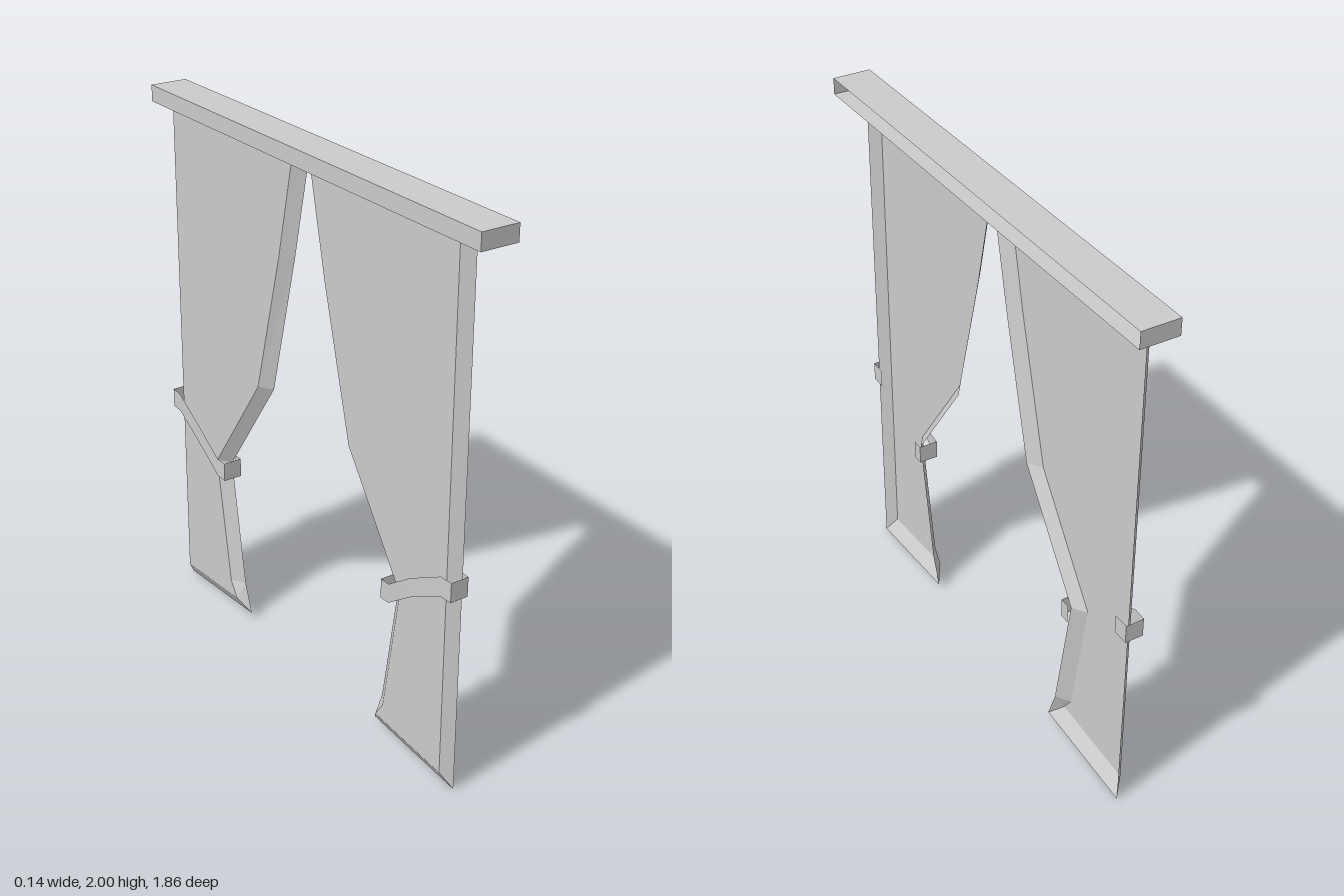
import * as THREE from 'three';

const material = new THREE.MeshStandardMaterial({ color: 0xcccccc, flatShading: true, side: THREE.DoubleSide });

// Skin a grid of [x, y, z] rows with flat quads; side (+1 / -1) mirrors it in z.
function gridMesh(name, rows, side) {
  const pos = [];
  const put = (...pts) => pts.forEach(([x, y, z]) => pos.push(x, y, z * side));
  for (let i = 0; i < rows.length - 1; i++) {
    for (let j = 0; j < rows[i].length - 1; j++) {
      const a = rows[i][j], b = rows[i][j + 1], c = rows[i + 1][j + 1], d = rows[i + 1][j];
      if (side > 0) put(a, d, c, a, c, b);
      else put(a, c, d, a, b, c);
    }
  }
  const geometry = new THREE.BufferGeometry();
  geometry.setAttribute('position', new THREE.Float32BufferAttribute(pos, 3));
  geometry.computeVertexNormals();
  const mesh = new THREE.Mesh(geometry, material);
  mesh.name = name;
  return mesh;
}

// Flat sheet whose side and bottom hems are folded towards +x.
function curtainPanel(side) {
  const sheetX = -0.05, hemX = -0.015;
  // [y, free edge z, inner fold z]
  const profile = [
    [1.985, 0, 0.045], [1.59, 0.09, 0.135], [1.055, 0.228, 0.278],
    [0.635, 0.525, 0.575], [0.145, 0.445, 0.495],
  ];
  const rows = profile.map(([y, edge, fold]) => [
    [hemX, y, edge], [sheetX, y, fold], [sheetX, y, 0.815], [hemX, y, 0.85],
  ]);
  // lower fold line, then the mitred bottom hem
  rows.push([[hemX, 0.03, 0.405], [sheetX, 0.085, 0.455], [sheetX, 0.06, 0.815], [hemX, 0, 0.85]]);
  rows.push([[hemX, 0.03, 0.405], [hemX, 0.03, 0.405], [hemX, 0, 0.85], [hemX, 0, 0.85]]);
  return gridMesh('curtainPanel', rows, side);
}

// Ribbon running behind the panel and hooked around both of its edges.
function tieback(side) {
  const path = [
    [0, 0.79, 0.8], [0, 0.79, 0.86], [-0.068, 0.79, 0.86], [-0.07, 0.79, 0.81],
    [-0.074, 0.71, 0.66], [-0.07, 0.625, 0.54], [-0.068, 0.622, 0.495],
    [0.004, 0.622, 0.495], [0.004, 0.622, 0.535],
  ];
  const offset = (dy) => path.map(([x, y, z]) => [x, y + dy, z]);
  return gridMesh('tieback', [offset(0.036), offset(-0.036)], side);
}

// Curtain box: hollow, open on the +x side.
function curtainBox() {
  const group = new THREE.Group();
  group.name = 'curtainBox';
  const w = 0.14, h = 0.06, l = 1.86, y = 1.97;
  const plate = (name, a, b, position, rotation) => {
    const mesh = new THREE.Mesh(new THREE.PlaneGeometry(a, b), material);
    mesh.name = name;
    mesh.position.set(...position);
    mesh.rotation.set(...rotation);
    group.add(mesh);
  };
  plate('boxTop', w, l, [0, y + h / 2, 0], [-Math.PI / 2, 0, 0]);
  plate('boxBottom', w, l, [0, y - h / 2, 0], [Math.PI / 2, 0, 0]);
  plate('boxBack', l, h, [-w / 2, y, 0], [0, -Math.PI / 2, 0]);
  for (const s of [1, -1]) plate('boxEnd', w, h, [0, y, s * l / 2], [0, s > 0 ? 0 : Math.PI, 0]);
  return group;
}

export function createModel() {
  const model = new THREE.Group();
  model.name = 'curtains';
  model.add(curtainBox());
  for (const side of [1, -1]) model.add(curtainPanel(side), tieback(side));
  return model;
}
